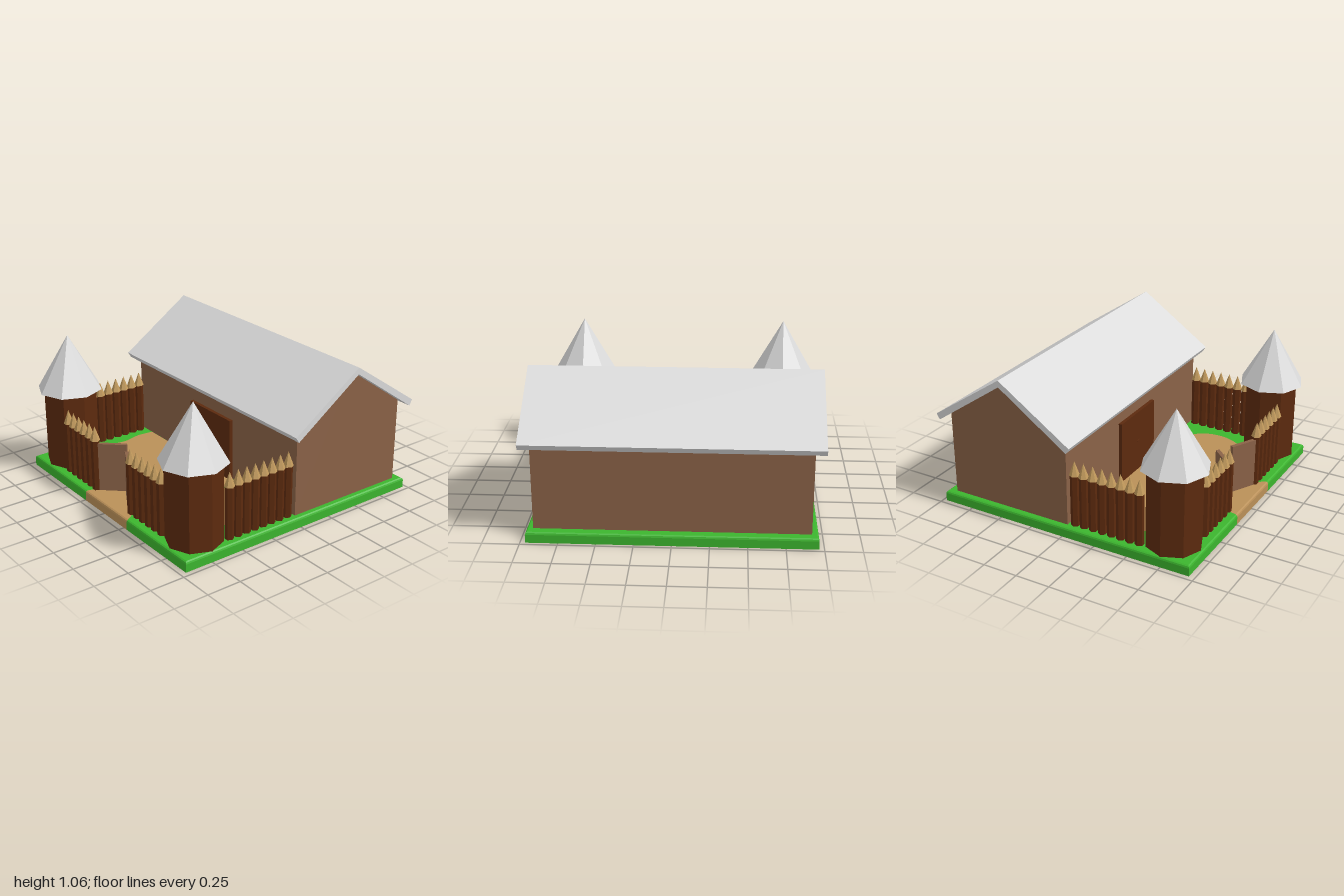
import * as THREE from 'three';

const mat = (name, color, extra = {}) => {
  const m = new THREE.MeshStandardMaterial({ color, flatShading: true, ...extra });
  m.name = name;
  return m;
};

export function createModel() {
  const root = new THREE.Group();
  root.name = 'palisadeFort';
  const open = { side: THREE.DoubleSide };
  const grass = mat('grass', 0x3cb52e, open);
  const sand = mat('sand', 0xba9058, open);
  const darkWood = mat('darkWood', 0x5c2a0e);
  const wallWood = mat('wallWood', 0x8a6247);
  const cutWood = mat('cutWood', 0xc29a5c);
  const roofGrey = mat('roofGrey', 0xdadada);

  const add = (name, geo, material, x = 0, y = 0, z = 0, parent = root) => {
    const mesh = new THREE.Mesh(geo, material);
    mesh.name = name;
    mesh.position.set(x, y, z);
    parent.add(mesh);
    return mesh;
  };

  // Ground: a hollow tray with a bevelled edge
  const TOP = 0.075, BOTTOM = 0.07;
  const X = 0.965, Z0 = -0.975, Z1 = 0.958, INSET = 0.013;
  const pathL = -0.24, pathR = 0.285;
  const rimProfile = [[0, 0], [0, 0.058], [0.004, 0.069], [INSET, TOP]];
  const rimPoint = ([x, z], [inset, y]) => [
    Math.abs(x) === X ? x - Math.sign(x) * inset : x, y,
    z === Z0 ? z + inset : z - inset,
  ];
  const rim = (name, plan, material) => {
    const v = [];
    for (let i = 0; i < plan.length - 1; i++) {
      for (let j = 0; j < rimProfile.length - 1; j++) {
        const a = rimPoint(plan[i], rimProfile[j]), b = rimPoint(plan[i + 1], rimProfile[j]);
        const c = rimPoint(plan[i + 1], rimProfile[j + 1]), d = rimPoint(plan[i], rimProfile[j + 1]);
        v.push(...a, ...b, ...c, ...a, ...c, ...d);
      }
    }
    const geo = new THREE.BufferGeometry();
    geo.setAttribute('position', new THREE.Float32BufferAttribute(v, 3));
    geo.computeVertexNormals();
    add(name, geo, material);
  };
  rim('grassRim', [[pathR, Z1], [X, Z1], [X, Z0], [-X, Z0], [-X, Z1], [pathL, Z1]], grass);
  rim('pathRim', [[pathL, Z1], [pathR, Z1]], sand);

  // Courtyard outline, smoothed, from the front edge round to the front edge (x, z)
  const zFront = Z1 - INSET;
  const curve = (pts) => new THREE.CatmullRomCurve3(
    pts.map(([x, z]) => new THREE.Vector3(x, 0, z)), false, 'centripetal',
  ).getPoints(pts.length * 4).map((p) => new THREE.Vector2(p.x, -p.z));
  const rightBank = curve([
    [pathR, zFront], [0.24, 0.88], [0.19, 0.82], [0.25, 0.78], [0.36, 0.77], [0.45, 0.75],
    [0.47, 0.8], [0.53, 0.82], [0.57, 0.73], [0.71, 0.53], [0.775, 0.37], [0.75, 0.21],
    [0.65, 0.12], [0.52, 0.13], [0.39, 0.175], [0.3, 0.14], [0.28, 0.02],
  ]);
  const leftBank = curve([
    [-0.79, 0.02], [-0.8, 0.15], [-0.77, 0.28], [-0.79, 0.45], [-0.72, 0.52], [-0.6, 0.57],
    [-0.52, 0.68], [-0.44, 0.76], [-0.32, 0.785], [-0.2, 0.745], [-0.14, 0.74],
    [-0.17, 0.83], [-0.22, 0.88], [pathL, zFront],
  ]);
  const bank = [...rightBank, ...leftBank];
  const flat = (name, pts, material) =>
    add(name, new THREE.ShapeGeometry(new THREE.Shape(pts)).rotateX(-Math.PI / 2), material, 0, TOP, 0);
  flat('courtyard', bank, sand);
  const xi = X - INSET, zBack = Z0 + INSET;
  flat('grassTop', [
    ...bank, ...[[-xi, zFront], [-xi, zBack], [xi, zBack], [xi, zFront]]
      .map(([x, z]) => new THREE.Vector2(x, -z)),
  ], grass);

  // Barn: gabled body and a folded roof, both extruded along x
  const hall = new THREE.Group();
  hall.name = 'hall';
  hall.position.z = -0.445;
  root.add(hall);
  const alongX = (pts, length) => new THREE.ExtrudeGeometry(
    new THREE.Shape(pts.map(([x, y]) => new THREE.Vector2(x, y))),
    { depth: length, bevelEnabled: false },
  ).translate(0, 0, -length / 2).rotateY(Math.PI / 2);
  const w = 0.464;
  add('hallWalls', alongX([[-w, BOTTOM], [w, BOTTOM], [w, 0.7], [0, 1.012], [-w, 0.7]], 1.84),
    wallWood, 0, 0, 0, hall);
  add('hallRoof', alongX([
    [-0.535, 0.695], [-0.51, 0.655], [0, 1.01], [0.51, 0.655], [0.535, 0.695], [0, 1.058],
  ], 1.98), roofGrey, 0, 0, 0, hall);
  add('hallDoor', new THREE.BoxGeometry(0.47, 0.465, 0.03), darkWood, 0, 0.3025, 0.475, hall);
  add('doorLatch', new THREE.BoxGeometry(0.045, 0.006, 0.006), darkWood, 0, 0.31, 0.492, hall);

  // Corner towers with eight sides
  for (const side of [-1, 1]) {
    const tower = new THREE.Group();
    tower.name = side > 0 ? 'leftTower' : 'rightTower';
    tower.position.set(side * 0.762, 0, 0.745);
    root.add(tower);
    add('towerBody', new THREE.CylinderGeometry(0.195, 0.195, 0.57, 8), darkWood, 0, BOTTOM + 0.285, 0, tower);
    add('towerRoof', new THREE.ConeGeometry(0.235, 0.405, 8), roofGrey, 0, 0.8425, 0, tower);
  }

  // Palisade of sharpened stakes
  const postGeo = new THREE.CylinderGeometry(0.032, 0.032, 0.39, 6).rotateY(Math.PI / 6);
  const tipGeo = new THREE.ConeGeometry(0.037, 0.104, 6).rotateY(Math.PI / 6);
  const stake = (x, z) => {
    const g = new THREE.Group();
    g.name = 'stake';
    g.position.set(x, 0, z);
    root.add(g);
    add('stakePost', postGeo, darkWood, 0, BOTTOM + 0.195, 0, g);
    add('stakeTip', tipGeo, cutWood, 0, 0.505, 0, g);
  };
  for (const side of [-1, 1]) {
    for (let i = 0; i < 6; i++) stake(side * (0.225 + i * 0.0712), 0.872);
    for (let i = 0; i < 8; i++) stake(side * 0.89, 0.065 + i * 0.0702);
  }

  // Open gate leaves, each hinged at one end
  const gate = (name, x0, z0, x1, z1) => {
    const leaf = add(name, new THREE.BoxGeometry(Math.hypot(x1 - x0, z1 - z0), 0.363, 0.028),
      wallWood, (x0 + x1) / 2, BOTTOM + 0.1815, (z0 + z1) / 2);
    leaf.rotation.y = -Math.atan2(z1 - z0, x1 - x0);
  };
  gate('rightGate', -0.21, 0.868, -0.067, 0.712);
  gate('leftGate', 0.21, 0.872, 0.028, 0.775);

  return root;
}
